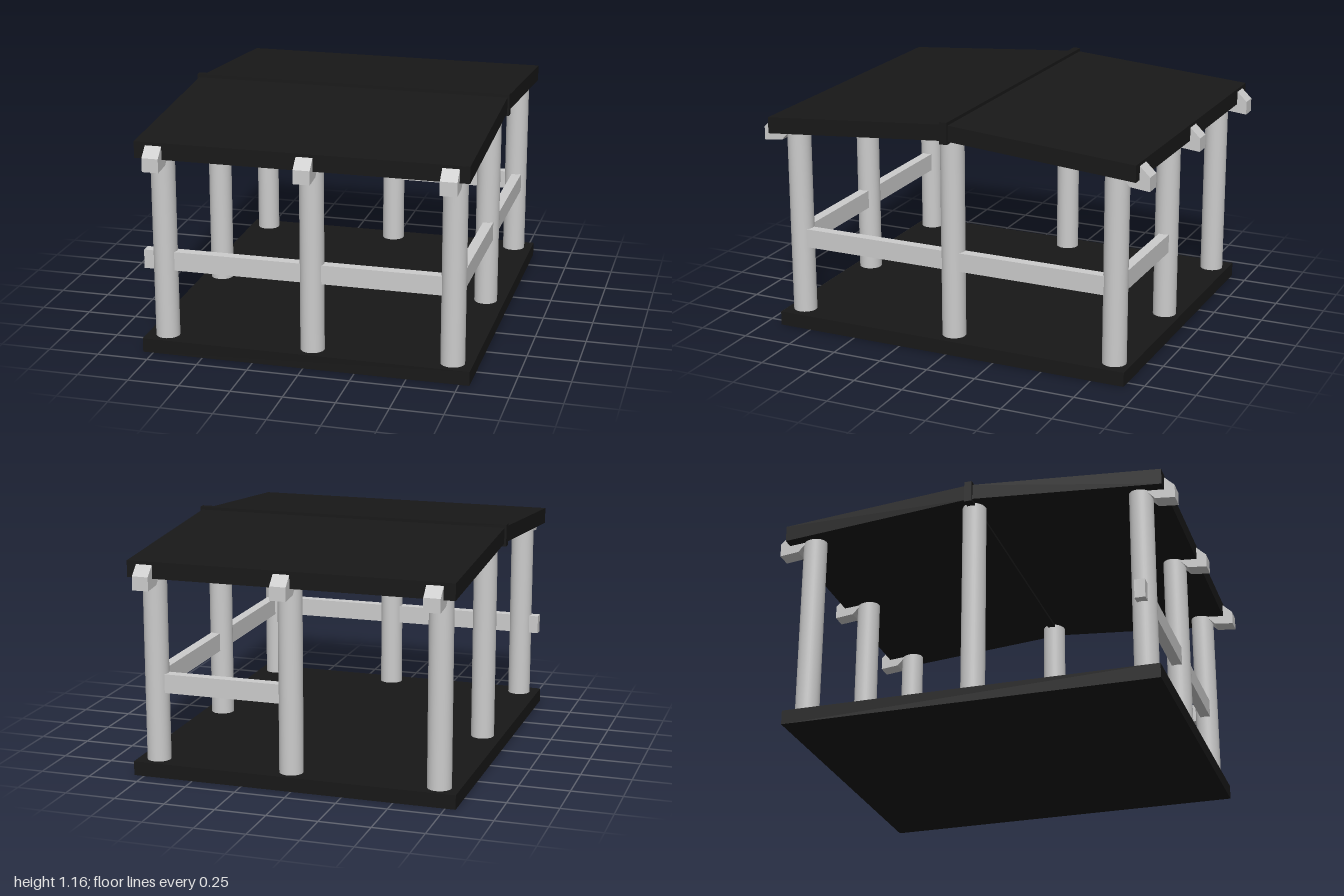
import * as THREE from 'three';

const grey = new THREE.MeshStandardMaterial({ color: 0xcccccc });
const black = new THREE.MeshStandardMaterial({ color: 0x181818 });

export function createModel() {
  const group = new THREE.Group();

  const add = (name, geometry, material) => {
    const mesh = new THREE.Mesh(geometry, material);
    mesh.name = name;
    group.add(mesh);
    return mesh;
  };

  // Box given by its limits on each axis
  const box = (name, [x0, x1], [y0, y1], [z0, z1], material) => {
    const mesh = add(name, new THREE.BoxGeometry(x1 - x0, y1 - y0, z1 - z0), material);
    mesh.position.set((x0 + x1) / 2, (y0 + y1) / 2, (z0 + z1) / 2);
  };

  // Side profile of [z, y] points, extruded along x between x0 and x1
  const profile = (name, points, x0, x1, material) => {
    const shape = new THREE.Shape(points.map(([z, y]) => new THREE.Vector2(-z, y)));
    const geometry = new THREE.ExtrudeGeometry(shape, { depth: x1 - x0, bevelEnabled: false });
    geometry.rotateY(Math.PI / 2).translate(x0, 0, 0);
    add(name, geometry, material);
  };

  // Floor slab
  box('floor', [-0.8, 0.8], [0, 0.07], [-0.915, 0.915], black);

  // Round posts around the edge, the middle side ones reaching the ridge
  const columns = [-0.7, 0.025, 0.703];
  for (const z of [-0.83, 0, 0.83]) {
    for (const x of columns) {
      if (z === 0 && x === 0.025) continue;
      const top = z === 0 ? 1.1 : 1.03;
      const post = add('post', new THREE.CylinderGeometry(0.058, 0.058, top - 0.06, 32), grey);
      post.position.set(x, (top + 0.06) / 2, z);
    }
  }

  // Rails: whole front, whole right-hand side, half of the back
  const railHeight = [0.41, 0.503];
  box('frontRail', [-0.8, 0.7], railHeight, [0.805, 0.856], grey);
  box('sideRail', [0.69, 0.74], railHeight, [-0.82, 0.83], grey);
  box('backRail', [0.025, 0.7], railHeight, [-0.86, -0.81], grey);

  // Sloping roof slabs and rafter tails, mirrored front to back
  for (const side of [1, -1]) {
    const mirror = (points) => points.map(([z, y]) => [z * side, y]);
    profile('roofSlab',
      mirror([[0, 1.065], [0.95, 0.988], [0.95, 1.068], [0, 1.143]]), -0.795, 0.79, black);
    for (const x of columns) {
      profile('rafterTail',
        mirror([[0.87, 1.02], [0.87, 0.985], [0.905, 0.948], [1, 0.938], [1, 1.005], [0.95, 1.053]]),
        x - 0.04, x + 0.04, grey);
    }
  }

  // Ridge beam
  box('ridgeBeam', [-0.805, 0.8], [1.05, 1.157], [-0.019, 0.019], black);

  return group;
}
